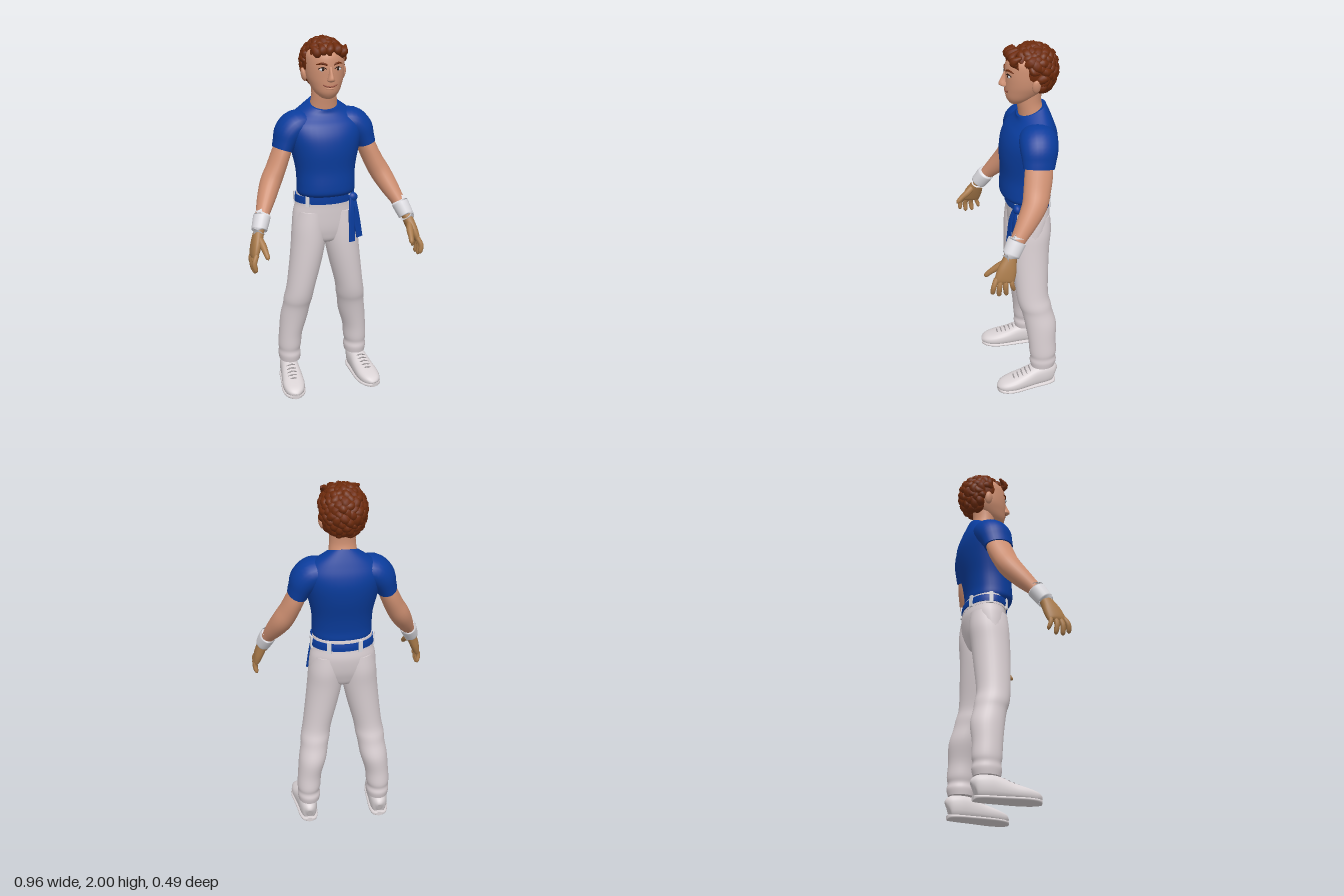
import * as THREE from 'three';

const V = (x, y, z) => new THREE.Vector3(x, y, z);
const colours = {
  skin: 0xcf9072, hand: 0xa87a4a, hair: 0x6e2b0c, shirt: 0x0a3c9c, trousers: 0xd9cfd2,
  shoe: 0xdad3d5, band: 0xdcdbe0, detail: 0xa09a9c, lip: 0x96513f, eye: 0x2e1a12,
};
const mats = {};
for (const [name, hex] of Object.entries(colours)) {
  mats[name] = new THREE.MeshStandardMaterial({ color: hex });
  mats[name].name = name;
}

// Catmull-Rom interpolation of rows of numbers
function smoothRows(rows, sub) {
  const out = [];
  const at = i => rows[Math.min(Math.max(i, 0), rows.length - 1)];
  for (let i = 0; i < rows.length - 1; i++) for (let s = 0; s < sub; s++) {
    const t = s / sub, [a, b, c, d] = [at(i - 1), at(i), at(i + 1), at(i + 2)];
    out.push(b.map((v, k) => v + 0.5 * t * (c[k] - a[k] + t * (2 * a[k] - 5 * v + 4 * c[k] - d[k]
      + t * (3 * (v - c[k]) + d[k] - a[k])))));
  }
  out.push(at(rows.length - 1));
  return out;
}

// Skin over elliptical sections [x, y, z, rx, rz, tilt]. With ref the rings follow the path,
// without it they lie flat and the rows must ascend.
function loft(rows, { ref = null, n = 24, p = 1, sub = 4 } = {}) {
  const R = smoothRows(rows, sub), pos = [], idx = [], m = R.length;
  const sp = v => Math.sign(v) * Math.abs(v) ** p;
  const centre = R.map(r => V(r[0], r[1], r[2]));
  R.forEach((r, i) => {
    let X = V(1, 0, 0), Z = V(0, 0, 1);
    if (ref) {
      const T = centre[Math.min(i + 1, m - 1)].clone().sub(centre[Math.max(i - 1, 0)]).normalize();
      X = T.clone().cross(ref).normalize();
      Z = X.clone().cross(T);
    }
    for (let j = 0; j < n; j++) {
      const a = j / n * Math.PI * 2, c = sp(Math.cos(a)) * r[3], s = sp(Math.sin(a)) * r[4];
      const q = centre[i].clone().addScaledVector(X, c).addScaledVector(Z, s);
      pos.push(q.x, q.y - (r[5] || 0) * s, q.z);
    }
  });
  for (let i = 0; i < m - 1; i++) for (let j = 0; j < n; j++) {
    const a = i * n + j, b = i * n + (j + 1) % n;
    idx.push(a, a + n, b, b, a + n, b + n);
  }
  for (const end of [0, m - 1]) { // end caps with their own vertices
    const base = pos.length / 3;
    pos.push(...pos.slice(end * n * 3, (end + 1) * n * 3), ...centre[end].toArray());
    for (let j = 0; j < n; j++) {
      const a = base + j, b = base + (j + 1) % n;
      end ? idx.push(base + n, b, a) : idx.push(base + n, a, b);
    }
  }
  const g = new THREE.BufferGeometry();
  g.setAttribute('position', new THREE.Float32BufferAttribute(pos, 3));
  g.setIndex(idx);
  g.computeVertexNormals();
  return g;
}

export function createModel() {
  const model = new THREE.Group();
  model.name = 'standingMan';
  const FRONT = V(0, 0, 1), UP = V(0, 1, 0);
  const add = (name, geo, mat, parent = model) => {
    const mesh = new THREE.Mesh(geo, mats[mat]);
    mesh.name = name;
    parent.add(mesh);
    return mesh;
  };
  const ball = (name, mat, p, s) => {
    const b = add(name, new THREE.SphereGeometry(1, 20, 14), mat);
    b.position.set(...p);
    b.scale.set(...s);
    return b;
  };
  const flip = (rows, s) => rows.map(([x, ...rest]) => [x * s, ...rest]);

  // Shirt body, with a collar that slopes forward
  add('shirtBody', loft([
    [0, 1.155, -.07, .153, .112, 0], [0, 1.175, -.062, .16, .125, 0], [0, 1.22, -.061, .16, .126, 0],
    [0, 1.3, -.07, .164, .13, 0], [0, 1.4, -.08, .185, .145, 0], [0, 1.48, -.09, .205, .145, 0],
    [0, 1.54, -.1, .21, .128, 0], [0, 1.585, -.106, .175, .104, .1], [0, 1.62, -.106, .125, .086, .25],
    [0, 1.648, -.1, .079, .076, .4]], { n: 40, p: .9 }), 'shirt');

  // Neck and head
  add('neck', loft([[0, 1.56, -.11, .085, .07], [0, 1.64, -.1, .074, .068], [0, 1.7, -.088, .068, .064],
    [0, 1.79, -.09, .07, .07]]), 'skin');
  add('head', loft([[0, 1.684, -.012, .012, .012], [0, 1.692, -.022, .036, .036], [0, 1.72, -.042, .066, .073],
    [0, 1.76, -.064, .087, .1], [0, 1.8, -.074, .1, .111], [0, 1.86, -.08, .105, .117],
    [0, 1.92, -.09, .1, .115], [0, 1.965, -.1, .06, .075], [0, 1.98, -.1, .01, .01]], { n: 36 }), 'skin');
  add('nose', loft([[0, 1.779, .03, .006, .008], [0, 1.787, .041, .02, .022], [0, 1.8, .043, .018, .027],
    [0, 1.825, .038, .011, .021], [0, 1.86, .026, .01, .014]], { n: 16 }), 'skin');
  add('mouth', new THREE.TubeGeometry(new THREE.CatmullRomCurve3([V(-.038, 1.765, .026), V(-.018, 1.757, .034),
    V(0, 1.755, .036), V(.018, 1.757, .034), V(.038, 1.765, .026)]), 20, .004, 8), 'lip');
  ball('lowerLip', 'skin', [0, 1.745, .029], [.024, .006, .008]);
  for (const s of [1, -1]) {
    ball('eye', 'band', [s * .041, 1.846, .026], [.018, .009, .006]);
    ball('iris', 'eye', [s * .04, 1.846, .03], [.007, .008, .004]);
    add('upperLid', loft(flip([[.021, 1.848, .032, .002, .003], [.041, 1.857, .03, .003, .004],
      [.062, 1.848, .018, .002, .003]], s), { ref: FRONT, n: 8 }), 'eye');
    add('eyebrow', loft(flip([[.017, 1.868, .034, .004, .004], [.042, 1.877, .028, .006, .005],
      [.07, 1.87, .009, .002, .003]], s), { ref: FRONT, n: 8 }), 'hair');
    ball('ear', 'skin', [s * .109, 1.803, -.1], [.014, .037, .022]).rotation.z = -s * .2;
  }

  // Curly hair: a cap covered with tapering curved locks
  ball('hairCap', 'hair', [0, 1.868, -.108], [.114, .116, .12]);
  let seed = 7;
  const rnd = () => (seed = (seed * 16807) % 2147483647) / 2147483647;
  const lock = (d, spin, len, size) => {
    const side = V(0, 1, 0).cross(d).normalize(), up = d.clone().cross(side);
    const t = side.clone().multiplyScalar(Math.cos(spin)).addScaledVector(up, Math.sin(spin));
    const b = d.clone().cross(t), curl = rnd() > .5 ? 1.3 : -1.3;
    const rows = [-1, -.75, 0, .7, 1].map((u, k) => {
      const q = d.clone().addScaledVector(t, u * len).addScaledVector(b, curl * u * u * len * .5).normalize();
      const r = [.004, .6, 1, .65, .01][k] * size;
      return [q.x * .107, 1.87 + q.y * (q.y < 0 ? .135 : .107), -.107 + q.z * .113, r, r];
    });
    add('hairLock', loft(rows, { ref: d, n: 10, sub: 3 }), 'hair');
  };
  const count = 170;
  for (let i = 0; i < count; i++) {
    const y = 1 - 2 * (i + .5) / count, a = i * 2.39996, r = Math.sqrt(1 - y * y);
    const d = V(r * Math.cos(a), y, r * Math.sin(a));
    const face = d.z > .25 && d.y < .5, ears = d.z > -.2 && d.y < .08;
    if (face || ears || d.y < -.86) continue;
    lock(d, rnd() * 6.28, .27 + rnd() * .12, .021 + rnd() * .007);
  }
  for (const [x, y, s] of [[-.07, 1.915, .9], [-.035, 1.925, .4], [.005, 1.93, -.5], [.045, 1.925, .5], [.078, 1.912, -.8]])
    add('fringeLock', loft([[x - .025 * s, y + .045, -.025, .006, .006], [x, y + .02, .012, .023, .02],
      [x + .012 * s, y - .005, .02 - Math.abs(x) * .35, .017, .015], [x - .008 * s, y - .022, .024 - Math.abs(x) * .5, .003, .003]],
    { ref: FRONT, n: 10 }), 'hair');

  for (const s of [1, -1]) {
    const limb = (name, mat, rows, opt = {}) => add(name, loft(flip(rows, s), { ref: FRONT, ...opt }), mat);

    // Arms, wristbands and hands
    limb('sleeve', 'shirt', [[.08, 1.545, -.105, .06, .085], [.15, 1.535, -.102, .08, .1], [.197, 1.495, -.096, .078, .098],
      [.222, 1.445, -.09, .062, .088], [.235, 1.41, -.086, .055, .082]]);
    limb('arm', 'skin', [[.21, 1.47, -.092, .045, .065], [.243, 1.39, -.083, .05, .074], [.278, 1.31, -.066, .053, .071],
      [.312, 1.245, -.045, .056, .066], [.35, 1.17, .005, .049, .054], [.385, 1.1, .058, .036, .04],
      [.412, 1.04, .098, .03, .035]]);
    limb('wristband', 'band', [[.388, 1.099, .063, .042, .046], [.39, 1.093, .067, .046, .05],
      [.412, 1.037, .1, .042, .046], [.414, 1.031, .104, .039, .043]], { sub: 3 });
    limb('palm', 'hand', [[.412, 1.04, .1, .026, .03], [.424, 1.005, .113, .028, .038], [.44, .96, .13, .026, .05],
      [.454, .915, .145, .02, .052], [.458, .9, .148, .012, .046]], { p: .85 });
    limb('thumb', 'hand', [[.425, 1.01, .125, .014, .016], [.412, .972, .168, .019, .019], [.405, .945, .205, .015, .015],
      [.4, .922, .23, .012, .012], [.399, .913, .239, .002, .002]], { n: 12 });
    [[.187, .21, .838], [.161, .177, .822], [.135, .139, .822], [.108, .1, .842]].forEach(([z0, z1, y1], k) => {
      const r = k === 3 ? .012 : .014, zm = (z0 + z1) / 2 + .006;
      limb('finger', 'hand', [[.449, .925, z0, r, r], [.466, (.92 + y1) / 2 + .008, zm, r, r],
        [.46, y1 + .012, z1, r * .85, r * .85], [.456, y1, z1, .002, .002]], { n: 12 });
    });

    // Trouser legs, with soft folds at knee and ankle
    add('trouserLeg', loft(flip([[.2, .125, -.135, .06, .07], [.2, .16, -.136, .065, .077], [.201, .19, -.135, .061, .072],
      [.199, .225, -.135, .066, .078], [.193, .3, -.13, .067, .079], [.175, .4, -.125, .077, .089],
      [.162, .48, -.107, .077, .087], [.155, .53, -.094, .081, .091], [.143, .6, -.081, .08, .09],
      [.115, .75, -.078, .09, .099], [.097, .87, -.08, .096, .105], [.09, .97, -.086, .094, .109],
      [.083, 1.06, -.087, .082, .103]], s), { n: 28 }), 'trousers');

    // Shoes: upper, sole and laces
    const shoe = [[.204, .06, -.208, .012, .03], [.204, .064, -.195, .036, .056], [.206, .068, -.15, .05, .066],
      [.21, .064, -.09, .054, .063], [.216, .05, -.02, .06, .049], [.224, .04, .05, .063, .039],
      [.231, .033, .105, .05, .029], [.234, .026, .132, .026, .016], [.235, .024, .138, .008, .008]];
    const alongFoot = { ref: UP, p: .8 };
    add('shoe', loft(flip(shoe, s), alongFoot), 'shoe');
    add('sole', loft(flip(shoe.map(([x, , z, r]) => [x, .012, z, r + .004, .012]), s), { ref: UP, p: .7 }), 'shoe');
    for (let k = 0; k < 5; k++) {
      const z = -.055 + k * .024, y = .121 - k * .0088, x = .213 + k * .0025;
      limb('lace', 'detail', [[x - .028, y - .012, z, .003, .003], [x, y - .001, z + .004, .004, .004],
        [x + .028, y - .012, z, .003, .003]], { n: 8 });
    }
  }

  // Hips and waistband
  add('hips', loft([[0, .862, -.08, .03, .03], [0, .885, -.08, .11, .075], [0, .93, -.083, .178, .094],
    [0, .98, -.087, .184, .106], [0, 1.05, -.09, .177, .113], [0, 1.1, -.087, .165, .112],
    [0, 1.168, -.078, .157, .11]], { n: 36 }), 'trousers');
  add('waistband', loft([[0, 1.098, -.086, .167, .115], [0, 1.13, -.083, .164, .114], [0, 1.164, -.08, .16, .113]],
    { n: 36 }), 'trousers');

  // Belt, belt loops and hanging sash
  add('belt', loft([[0, 1.112, -.084, .17, .12], [0, 1.132, -.083, .17, .12], [0, 1.152, -.081, .167, .118]],
    { n: 40 }), 'shirt');
  for (const a of [.78, 2.36, 3.3, 4.2, 5.22, 6.12]) {
    const loop = add('beltLoop', new THREE.BoxGeometry(.022, .066, .01), 'band');
    loop.position.set(.17 * Math.cos(a), 1.131, -.083 + .121 * Math.sin(a));
    loop.rotation.y = Math.atan2(Math.cos(a) / .17, Math.sin(a) / .121);
  }
  ball('sashKnot', 'shirt', [.135, 1.132, .004], [.028, .027, .022]);
  const ribbon = { ref: V(.3, 0, 1).normalize(), n: 16, p: .5 };
  add('sashTail', loft([[.128, 1.135, .012, .014, .006], [.12, 1.06, .034, .017, .006], [.119, .97, .044, .018, .006],
    [.119, .89, .052, .019, .006]], ribbon), 'shirt');
  add('sashTail', loft([[.138, 1.135, .01, .013, .006], [.147, 1.06, .022, .017, .006], [.158, .98, .024, .02, .006],
    [.169, .905, .028, .019, .006]], ribbon), 'shirt');

  return model;
}
